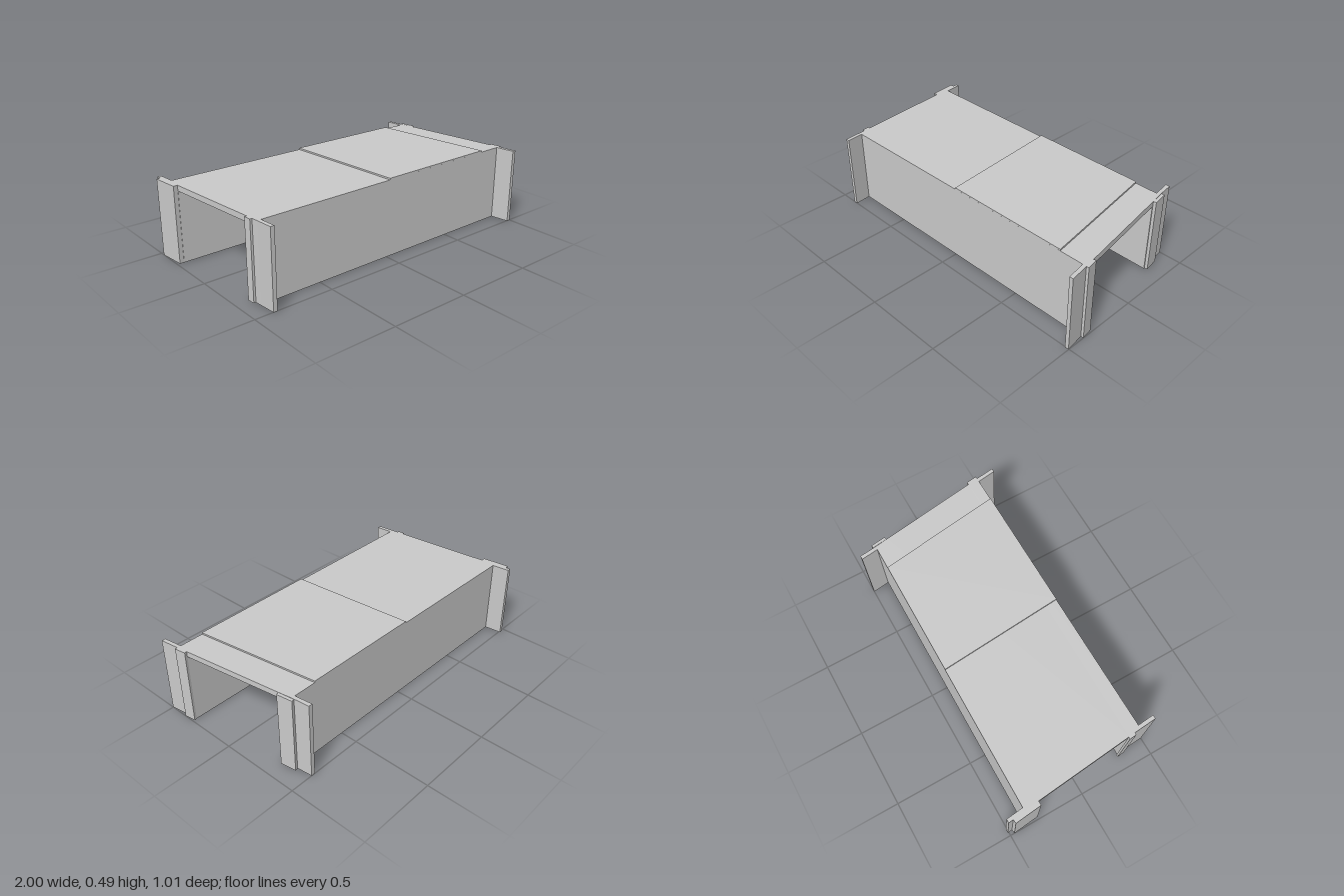
import * as THREE from 'three';

const material = new THREE.MeshStandardMaterial({ color: 0xcccccc, flatShading: true });

// Upright prism over a plan outline of [x, z] corners, from y0 to y1
function prism(name, plan, y0, y1) {
  const shape = new THREE.Shape(plan.map(([x, z]) => new THREE.Vector2(x, -z)));
  const geometry = new THREE.ExtrudeGeometry(shape, { depth: y1 - y0, bevelEnabled: false });
  geometry.rotateX(-Math.PI / 2);
  geometry.translate(0, y0, 0);
  const mesh = new THREE.Mesh(geometry, material);
  mesh.name = name;
  return mesh;
}

export function createModel() {
  const model = new THREE.Group();
  model.name = 'skewedCulvert';
  const top = 0.48, soffit = 0.445, raised = 0.49;

  // Plan corners of the skewed box: outer and inner wall lines
  const frontOuter = [[-0.894, 0.397], [0.983, 0.385]];
  const frontInner = [[-0.901, 0.317], [0.972, 0.317]];
  const backInner = [[-0.957, -0.305], [0.881, -0.305]];
  const backOuter = [[-0.967, -0.4], [0.867, -0.39]];
  const strip = (a, b) => [a[0], a[1], b[1], b[0]];

  // Side walls and the roof slab between them
  model.add(prism('frontWall', strip(frontOuter, frontInner), 0, top));
  model.add(prism('backWall', strip(backInner, backOuter), 0, top));
  model.add(prism('roofSlab', strip(frontInner, backInner), soffit, top));

  // Slightly raised section of the roof
  model.add(prism('raisedRoof',
    [[0.017, 0.391], [0.81, 0.386], [0.7, -0.391], [-0.045, -0.395]], top, raised));

  // Wing walls that run out past the side walls at each corner
  const wings = {
    frontRightWing: [[-0.894, 0.397], [-0.87, 0.397], [-0.861, 0.502], [-0.886, 0.502]],
    frontLeftWing: [[0.959, 0.385], [0.983, 0.385], [0.999, 0.503], [0.975, 0.503]],
    backRightWing: [[-0.967, -0.4], [-0.945, -0.4], [-0.955, -0.507], [-0.979, -0.507]],
    backLeftWing: [[0.844, -0.39], [0.867, -0.39], [0.855, -0.5], [0.83, -0.5]],
  };
  // Short lips on the end faces beside the opening
  const lips = {
    frontRightLip: [[-0.901, 0.312], [-0.897, 0.357], [-0.911, 0.357], [-0.915, 0.312]],
    frontLeftLip: [[0.972, 0.317], [0.988, 0.314], [0.999, 0.384], [0.983, 0.386]],
    backRightLip: [[-0.957, -0.307], [-0.984, -0.305], [-1, -0.474], [-0.975, -0.477]],
    backLeftLip: [[0.881, -0.31], [0.899, -0.313], [0.885, -0.41], [0.867, -0.407]],
  };
  for (const [name, plan] of Object.entries({ ...wings, ...lips })) {
    model.add(prism(name, plan, 0, top));
  }
  return model;
}
